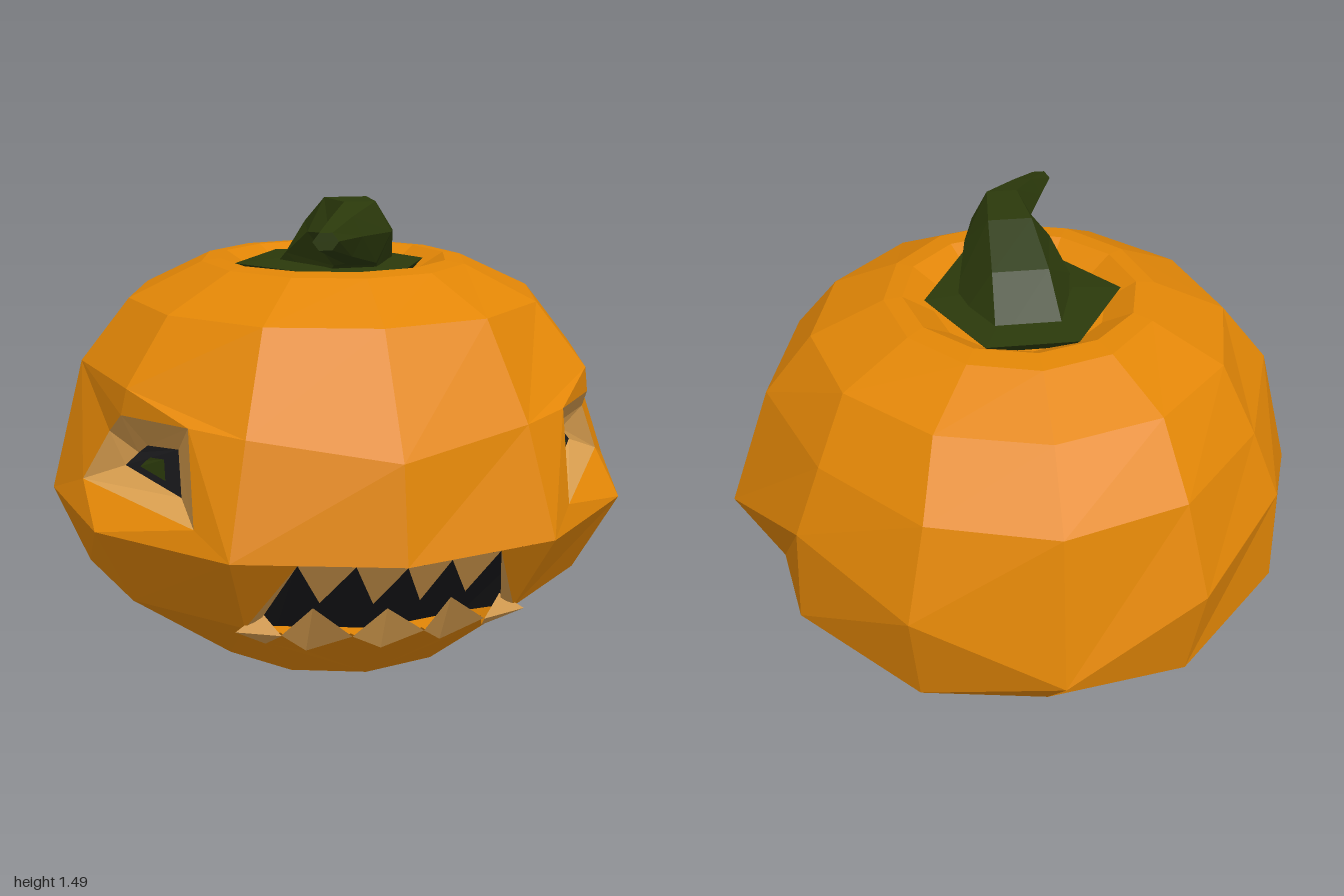
import * as THREE from 'three';

const mat = (name, color) => {
  const m = new THREE.MeshStandardMaterial({ color, flatShading: true, side: THREE.DoubleSide });
  m.name = name;
  return m;
};

// Collects flat polygons (corners counter-clockwise from outside) into one mesh
class Facets {
  constructor() { this.p = []; }
  add(...pts) {
    for (let i = 1; i < pts.length - 1; i++) this.p.push(...pts[0], ...pts[i], ...pts[i + 1]);
  }
  mesh(name, material) {
    const g = new THREE.BufferGeometry();
    g.setAttribute('position', new THREE.Float32BufferAttribute(this.p, 3));
    g.computeVertexNormals();
    const m = new THREE.Mesh(g, material);
    m.name = name;
    return m;
  }
}

// Body rings from the floor to the dip under the stem: x radius, z radius, height
const RINGS = [
  [0.465, 0.5, 0], [0.84, 0.81, 0.27], [0.97, 1.0, 0.535], [0.84, 0.9, 0.96],
  [0.68, 0.71, 1.16], [0.44, 0.49, 1.273], [0.38, 0.4, 1.28], [0.28, 0.29, 1.22],
];
// Corners off the even rings, by ring and by steps away from the front (0 front, 6 back)
const UNEVEN = {
  0: { 6: [0, 0, -0.53] },
  1: { 4: [0.78, 0.395, -0.47], 5: [0.42, 0.315, -0.79], 6: [0, 0.13, -0.68] },
  2: { 4: [0.765, 0.74, -0.49], 5: [0.45, 0.66, -0.86], 6: [0, 0.475, -1] },
  3: { 0: [0, 0.82, 0.945], 1: [0.42, 0.87, 0.78], 4: [0.68, 0.96, -0.45], 5: [0.39, 0.96, -0.78] },
};

function ringPoint(k, j) {
  k = (k + 12) % 12;
  const uneven = UNEVEN[j]?.[Math.min(k, 12 - k)];
  if (uneven) return [k > 6 ? -uneven[0] : uneven[0], uneven[1], uneven[2]];
  const a = (k * Math.PI) / 6;
  const [rx, rz, y] = RINGS[j];
  const shift = j === 2 && k % 6 === 3 ? 0.02 : 0;
  return [rx * Math.sin(a) + shift, y, rz * Math.cos(a)];
}

// Eye socket corners on the left side, from lower front round to upper front
const SOCKET = [[0.57, 0.605, 0.75], [0.86, 0.63, 0.245], [0.775, 0.8, 0.32], [0.745, 0.875, 0.43], [0.57, 0.885, 0.67]];
const HOLE = [[0.585, 0.65, 0.58], [0.73, 0.69, 0.33], [0.69, 0.735, 0.355], [0.665, 0.765, 0.39], [0.585, 0.785, 0.53]];

// Point on the two skin bands around the mouth, or in front of (+) or behind (-) them
function onFront(x, y, lift = 0) {
  const ax = Math.abs(x);
  const floor = 0.5 - 0.289 * ax, low = 0.81 - 0.258 * ax, wide = 1 - 0.276 * ax;
  const z = y > 0.27
    ? low + ((wide - low) * (y - 0.27)) / 0.265
    : floor + ((low - floor) * y) / 0.27;
  return [x, y, z + lift];
}

// Right-hand half of the lower front skin, notched along the mouth
const LOWER_SKIN = [[0, 0], [0.2325, 0], [0.42, 0.27], [0.345, 0.18], [0.315, 0.25], [0.215, 0.135], [0.11, 0.25], [0, 0.165]];

export function createModel() {
  const orange = mat('pumpkin skin', 0xe28606);
  const tan = mat('cut flesh', 0xdba050);
  const dark = mat('dark hollow', 0x1a1a1c);
  const green = mat('stem green', 0x2b390b);

  const model = new THREE.Group();
  const pumpkin = new THREE.Group();
  pumpkin.name = 'pumpkin';
  pumpkin.position.x = -0.02;
  model.add(pumpkin);

  // Body, leaving openings for the eye sockets and the mouth
  const body = new Facets();
  const top = RINGS.length - 1;
  for (let k = 0; k < 12; k++) {
    for (let j = 0; j < top; j++) {
      if (j === 2 && [1, 2, 9, 10].includes(k)) continue;
      if (j < 2 && [0, 11].includes(k)) continue;
      body.add(ringPoint(k, j), ringPoint(k + 1, j), ringPoint(k + 1, j + 1), ringPoint(k, j + 1));
    }
    body.add([0, 0, 0], ringPoint(k + 1, 0), ringPoint(k, 0));
    body.add([0, 1.22, 0], ringPoint(k, top), ringPoint(k + 1, top));
  }

  const upper = new Facets(), lower = new Facets();
  for (const s of [1, -1]) {
    const flip = ([x, y, z]) => [s * x, y, z];
    const put = (f, ...pts) => f.add(...(s > 0 ? pts : pts.map(flip).reverse()));
    const skin = (...pts) => body.add(...(s > 0 ? pts : pts.reverse()));

    // Skin stitched around the eye socket
    const [D, C, E, B, A] = SOCKET.map(flip);
    const [l1, l2, l3, u1, u2, u3] = [[1, 2], [2, 2], [3, 2], [1, 3], [2, 3], [3, 3]]
      .map(([k, j]) => ringPoint(s * k, j));
    skin(l1, l2, D);
    skin(l2, C, D);
    skin(l2, l3, C);
    skin(l3, u3, C);
    skin(u3, E, C);
    skin(u3, B, E);
    skin(u3, u2, B);
    skin(u2, A, B);
    skin(u2, u1, A);
    skin(u1, l1, A);
    skin(l1, D, A);

    // Eye
    const eye = new THREE.Group();
    eye.name = s > 0 ? 'leftEye' : 'rightEye';
    const rim = new Facets(), hollow = new Facets(), pupil = new Facets();
    SOCKET.forEach((p, i) => {
      const n = (i + 1) % SOCKET.length;
      put(rim, p, SOCKET[n], HOLE[n], HOLE[i]);
    });
    put(hollow, ...HOLE);
    const mid = [0.637, 0.717, 0.452];
    put(pupil, ...HOLE.map((p) => p.map((v, i) => mid[i] + (v - mid[i]) * 0.45 + [0.012, 0, 0.009][i])));
    eye.add(rim.mesh('eyeRim', tan), hollow.mesh('eyeHollow', dark), pupil.mesh('pupil', green));
    pumpkin.add(eye);

    // Skin below and beside the mouth
    const contour = LOWER_SKIN.map(([x, y]) => new THREE.Vector2(x, y));
    for (const tri of THREE.ShapeUtils.triangulateShape(contour, [])) {
      put(body, ...tri.map((i) => onFront(...LOWER_SKIN[i])));
    }
    put(body, onFront(0.3, 0.535), onFront(0.42, 0.27), onFront(0.485, 0.535));

    // Teeth hanging from the widest ring, and the cut mouth corner
    for (const [a, b] of [[0, 0.14], [0.14, 0.3]]) {
      put(upper, onFront(a, 0.535), onFront((a + b) / 2, 0.385), onFront(b, 0.535));
    }
    put(upper, onFront(0.3, 0.535), onFront(0.37, 0.31, -0.02), onFront(0.42, 0.27));

    // Lower teeth: upright folds at the middle, jutting ledges at the mouth corners
    const notch = [[0.11, 0.25, 0.025], [0.215, 0.135], [0.315, 0.25, 0.025], [0.215, 0.32, -0.08]];
    const ledge = [[0.315, 0.25, 0.03], [0.345, 0.18, 0.005], [0.45, 0.265, 0.025], [0.37, 0.32, -0.04]];
    const [nl, nb, nr, nt] = notch.map((p) => onFront(...p));
    put(lower, nl, nb, nt);
    put(lower, nb, nr, nt);
    const [el, eb, er, et] = ledge.map((p) => onFront(...p));
    put(lower, el, er, et);
    put(lower, el, eb, er);
    put(lower, onFront(0, 0.165), nl, onFront(0, 0.325, -0.08));
  }
  pumpkin.add(body.mesh('body', orange));
  pumpkin.add(upper.mesh('upperTeeth', tan), lower.mesh('lowerTeeth', tan));

  // Dark mouth wall sloping back behind the teeth
  const mouth = new Facets();
  const columns = [[-0.42, 0.27, -0.02], [-0.3, 0.21, -0.1], [0, 0.21, -0.1], [0.3, 0.21, -0.1], [0.42, 0.27, -0.02]];
  for (let i = 0; i < columns.length - 1; i++) {
    const a = columns[i], b = columns[i + 1];
    mouth.add(onFront(...a), onFront(...b), onFront(b[0], 0.535, -0.02), onFront(a[0], 0.535, -0.02));
  }
  pumpkin.add(mouth.mesh('mouth', dark));

  // Leafy collar at the foot of the stem
  const collar = new Facets();
  const outline = [[-0.11, 0.3], [0.14, 0.34], [0.31, 0], [0.15, -0.32], [-0.14, -0.32], [-0.33, 0]];
  outline.forEach(([x0, z0], i) => {
    const [x1, z1] = outline[(i + 1) % 6];
    const p0 = [x0, 1.262, z0], p1 = [x1, 1.262, z1];
    collar.add(p0, p1, [0, 1.29, 0]);
    collar.add([x0 * 0.85, 1.215, z0 * 0.85], [x1 * 0.85, 1.215, z1 * 0.85], p1, p0);
  });
  pumpkin.add(collar.mesh('stemCollar', green));

  // Bent stem lofted through tilted six-sided sections: x, y, z, half width, half depth, tilt
  const sections = [
    [0, 1.2, -0.07, 0.22, 0.19, 0.1], [0.01, 1.3, 0.05, 0.18, 0.15, 0.6], [0.02, 1.38, 0.17, 0.14, 0.12, 0.95],
    [0.02, 1.39, 0.31, 0.1, 0.092, 1.5], [-0.07, 1.395, 0.45, 0.065, 0.058, 1.6], [-0.145, 1.398, 0.575, 0.04, 0.025, 1.6],
  ].map(([x, y, z, w, d, t]) => Array.from({ length: 6 }, (_, i) => {
    const a = (i * Math.PI) / 3;
    const v = d * 1.2 * Math.sin(a);
    return [x + w * Math.cos(a), y + v * Math.sin(t), z - v * Math.cos(t)];
  }));
  const stem = new Facets();
  for (let j = 0; j < sections.length - 1; j++) {
    for (let i = 0; i < 6; i++) {
      const n = (i + 1) % 6;
      stem.add(sections[j][i], sections[j][n], sections[j + 1][n], sections[j + 1][i]);
    }
  }
  stem.add(...sections[sections.length - 1]);
  pumpkin.add(stem.mesh('stem', green));

  return model;
}
